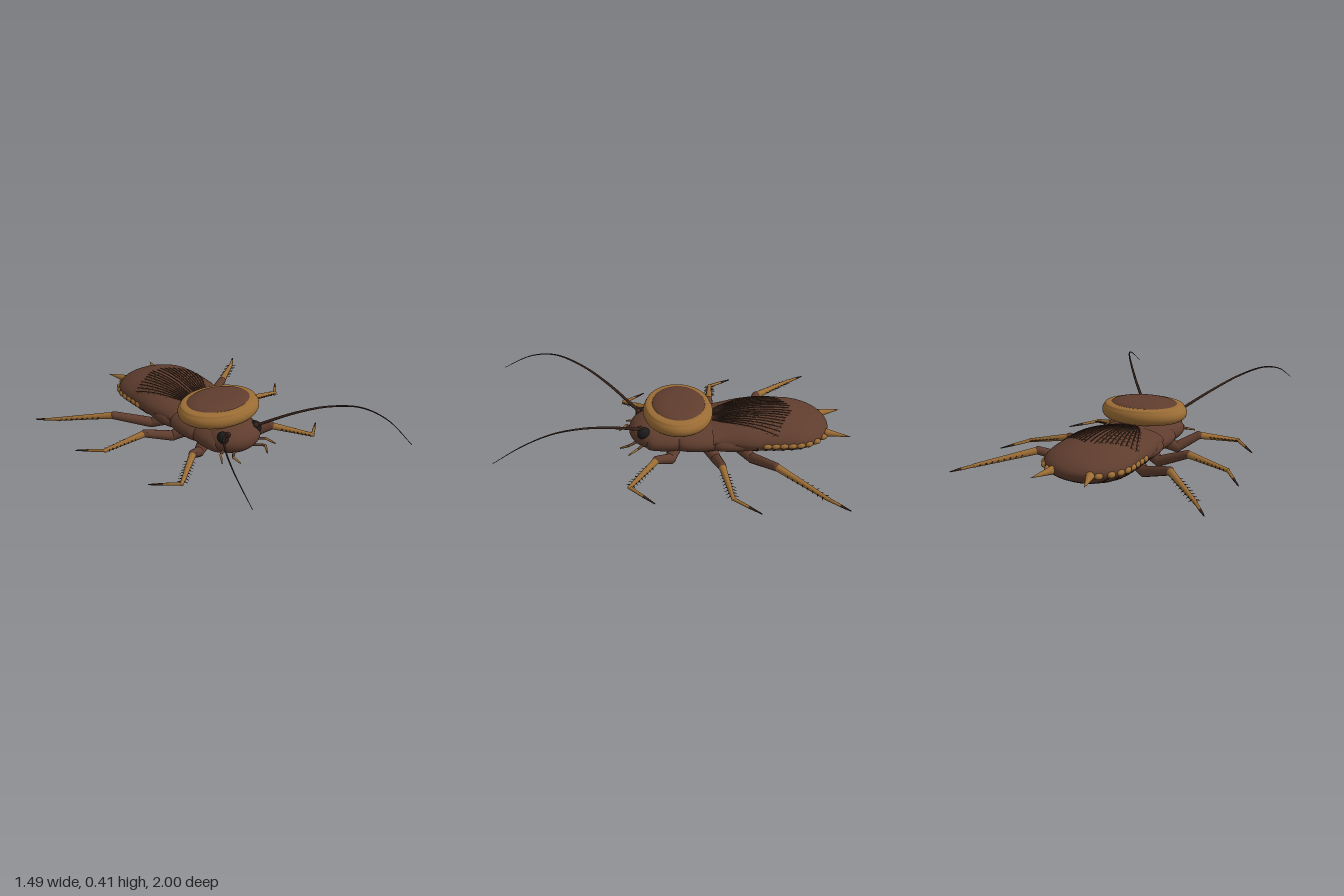
import * as THREE from 'three';

const mat = (name, color, side = THREE.FrontSide) => {
  const m = new THREE.MeshStandardMaterial({ color, side });
  m.name = name;
  return m;
};
const brown = mat('chestnut shell', 0x5f3d2e, THREE.DoubleSide);
const tan = mat('amber', 0x9c6d35);
const dark = mat('dark brown', 0x38241b);
const black = mat('eye black', 0x1c1a1a);
const V = (x, y, z) => new THREE.Vector3(x, y, z);

function add(parent, name, geo, material, pos, scale) {
  const m = new THREE.Mesh(geo, material);
  m.name = name;
  if (pos) m.position.set(...pos);
  if (scale) m.scale.set(...scale);
  parent.add(m);
  return m;
}

// Tapered rod from a to b
function limb(parent, name, a, b, r1, r2, material, sides = 12) {
  const d = b.clone().sub(a);
  const m = add(parent, name, new THREE.CylinderGeometry(r2, r1, d.length(), sides), material);
  m.position.copy(a).addScaledVector(d, 0.5);
  m.quaternion.setFromUnitVectors(V(0, 1, 0), d.normalize());
  return m;
}

const ball = (parent, name, p, r, material) =>
  add(parent, name, new THREE.SphereGeometry(r, 14, 10), material, [p.x, p.y, p.z]);

// Tube along points that thins from r1 to r2
function taperTube(points, r1, r2, segs = 24, sides = 6) {
  const curve = new THREE.CatmullRomCurve3(points);
  const geo = new THREE.TubeGeometry(curve, segs, r1, sides);
  const p = geo.attributes.position, v = V(0, 0, 0);
  for (let i = 0; i < p.count; i++) {
    const t = Math.floor(i / (sides + 1)) / segs;
    const c = curve.getPointAt(t);
    v.fromBufferAttribute(p, i).sub(c).multiplyScalar(1 + (r2 / r1 - 1) * t).add(c);
    p.setXYZ(i, v.x, v.y, v.z);
  }
  return geo;
}

// Abdomen cross-section at t (0 front, 1 tail)
const Z0 = -0.2, LEN = 0.69;
function section(t) {
  const end = (s) => Math.sqrt(Math.max(0, 1 - Math.max(0, (t - s) / (1 - s)) ** 2));
  return {
    z: Z0 - LEN * t,
    w: (0.21 + 0.04 * THREE.MathUtils.smoothstep(t, 0, 0.35)) * end(0.65),
    mid: 0.15 - 0.02 * t,
    up: t < 0.45 ? 0.06 + 0.05 * Math.sin(t / 0.9 * Math.PI) : 0.11 * end(0.45),
    down: 0.1 * end(0.55),
  };
}
function hullPoint(t, a, lift = 0) {
  const s = section(t), h = Math.sin(a);
  return V(Math.cos(a) * (s.w + lift), s.mid + h * ((h > 0 ? s.up : s.down) + lift), s.z);
}
function wingPoint(x, z, lift) {
  const t = (Z0 - z) / LEN, s = section(t);
  return hullPoint(t, Math.acos(THREE.MathUtils.clamp(x / s.w, -1, 1)), lift);
}
function hull(a0, a1) {
  const rows = 40, cols = 32, pos = [], idx = [];
  for (let i = 0; i <= rows; i++) for (let j = 0; j <= cols; j++) {
    const p = hullPoint(Math.sin(i / rows * Math.PI / 2), a0 + (a1 - a0) * j / cols);
    pos.push(p.x, p.y, p.z);
    if (i < rows && j < cols) {
      const a = i * (cols + 1) + j, b = a + cols + 1;
      idx.push(a, a + 1, b, a + 1, b + 1, b);
    }
  }
  const g = new THREE.BufferGeometry();
  g.setAttribute('position', new THREE.Float32BufferAttribute(pos, 3));
  g.setIndex(idx);
  g.computeVertexNormals();
  return g;
}

const lathe = (pts) => new THREE.LatheGeometry(
  new THREE.SplineCurve(pts.map(([x, y]) => new THREE.Vector2(x, y))).getPoints(40), 56);

// Hip, thigh, spiny shin and foot
function leg(parent, name, hip, joint, knee, ankle, toe) {
  const g = new THREE.Group();
  g.name = name;
  limb(g, 'hip', hip, joint, 0.045, 0.03, brown);
  ball(g, 'hipJoint', joint, 0.031, brown);
  limb(g, 'thigh', joint, knee, 0.031, 0.024, brown);
  ball(g, 'knee', knee, 0.024, brown);
  limb(g, 'shin', knee, ankle, 0.021, 0.011, tan);
  ball(g, 'ankle', ankle, 0.012, tan);
  const dir = ankle.clone().sub(knee).normalize();
  const side = V(0, 1, 0).cross(dir).normalize();
  for (let i = 0; i < 8; i++) for (const s of [-1, 1]) {
    const a = knee.clone().lerp(ankle, 0.25 + i * 0.095).addScaledVector(side, s * 0.01);
    const b = a.clone().addScaledVector(side, s * 0.024).addScaledVector(dir, 0.012);
    limb(g, 'spine', a, b, 0.0035, 0.0005, dark, 5);
  }
  const mid = ankle.clone().lerp(toe, 0.55);
  limb(g, 'foot', ankle, mid, 0.01, 0.008, tan, 8);
  limb(g, 'toe', mid, toe, 0.008, 0.003, dark, 8);
  parent.add(g);
}

export function createModel() {
  const root = new THREE.Group();
  root.name = 'cockroach';

  // Wing covers and belly
  add(root, 'wingCovers', hull(0, Math.PI), brown);
  add(root, 'belly', hull(Math.PI, Math.PI * 2), brown);

  // Thorax segments
  const seg = lathe([[0.001, -1], [0.55, -0.98], [0.9, -0.8], [1, -0.3], [1, 0.3], [0.9, 0.8], [0.55, 0.98], [0.001, 1]]);
  seg.rotateX(Math.PI / 2);
  [[0.05, 0.19, 0.085, 0.14], [-0.13, 0.215, 0.085, 0.15], [-0.33, 0.235, 0.08, 0.15]].forEach(([z, w, h, l]) =>
    add(root, 'thoraxSegment', seg, brown, [0, 0.125, z], [w, h, l]));

  // Shield behind the head
  const rim = lathe([[0.001, 0.205], [0.75, 0.206], [0.94, 0.22], [1, 0.25], [0.95, 0.282], [0.8, 0.3], [0.001, 0.302]]);
  add(root, 'shieldRim', rim, tan, [0, 0, -0.015], [0.253, 1, 0.2]);
  const cap = lathe([[1, 0.28], [1, 0.295], [0.85, 0.311], [0.5, 0.323], [0.001, 0.326]]);
  add(root, 'shieldCap', cap, brown, [0, 0, -0.018], [0.202, 1, 0.156]);

  // Head
  add(root, 'head', new THREE.SphereGeometry(1, 40, 28), brown, [0, 0.137, 0.13], [0.165, 0.09, 0.138]);

  // Central seam of the wings
  const seamPts = [];
  for (let i = 0; i <= 8; i++) seamPts.push(wingPoint(0, -0.21 - i * 0.056, 0.001));
  add(root, 'wingSeam', taperTube(seamPts, 0.005, 0.003), dark);

  // Belly bands
  for (let k = 0; k < 8; k++) {
    const t = 0.36 + k * 0.073;
    [[0, 0.004, dark], [0.012, 0.002, tan]].forEach(([dt, r, m]) => {
      const pts = [];
      for (let j = 0; j <= 12; j++) pts.push(hullPoint(t + dt, Math.PI * (1.04 + 0.92 * j / 12), 0));
      add(root, 'bellyBand', taperTube(pts, r, r), m);
    });
  }

  for (const s of [-1, 1]) {
    const half = new THREE.Group();
    half.name = s > 0 ? 'leftSide' : 'rightSide';
    root.add(half);
    const P = (x, y, z) => V(s * x, y, z);

    // Eyes and antennae
    add(half, 'eye', new THREE.SphereGeometry(1, 20, 14), black, [s * 0.115, 0.172, 0.185], [0.031, 0.038, 0.04]);
    ball(half, 'antennaBase', P(0.1, 0.2, 0.21), 0.016, dark);
    add(half, 'antenna', taperTube([P(0.1, 0.195, 0.205), P(0.25, 0.305, 0.38), P(0.36, 0.373, 0.53),
      P(0.455, 0.403, 0.69), P(0.51, 0.372, 0.84), P(0.535, 0.288, 1)], 0.0095, 0.0015, 48), dark);

    // Mouth feelers
    limb(half, 'feeler', P(0.06, 0.09, 0.22), P(0.115, 0.095, 0.28), 0.009, 0.007, brown, 8);
    limb(half, 'feelerTip', P(0.115, 0.095, 0.28), P(0.095, 0.07, 0.325), 0.008, 0.004, tan, 8);
    limb(half, 'feeler', P(0.1, 0.1, 0.18), P(0.16, 0.1, 0.225), 0.01, 0.007, brown, 8);
    limb(half, 'feelerTip', P(0.16, 0.1, 0.225), P(0.19, 0.08, 0.28), 0.008, 0.004, tan, 8);

    // Legs
    leg(half, 'frontLeg', P(0.09, 0.09, 0.0), P(0.18, 0.04, 0.04), P(0.28, 0.1, 0.125), P(0.465, 0.05, 0.285), P(0.6, 0.03, 0.155));
    leg(half, 'middleLeg', P(0.09, 0.08, -0.17), P(0.19, 0.032, -0.22), P(0.37, 0.1, -0.232), P(0.62, 0.055, -0.265), P(0.735, 0.03, -0.405));
    leg(half, 'hindLeg', P(0.09, 0.08, -0.34), P(0.2, 0.035, -0.425), P(0.4, 0.1, -0.53), P(0.655, 0.048, -0.775), P(0.745, 0.03, -0.88));

    // Amber lobes along the abdomen edge
    for (let i = 0; i < 8; i++) {
      const t = 0.44 + i * 0.069;
      const p = hullPoint(t, 0);
      add(half, 'edgeLobe', new THREE.SphereGeometry(1, 14, 10), tan, [s * (p.x - 0.008), p.y - 0.005, p.z], [0.02, 0.018, 0.028]);
    }

    // Tail spikes
    limb(half, 'tailSpike', P(0.11, 0.13, -0.86), P(0.155, 0.122, -0.998), 0.024, 0.001, tan);

    // Wing veins with short cross veins
    for (let i = 0; i < 9; i++) {
      const xEnd = 0.03 + i * 0.024, zEnd = -0.67 + i * 0.013;
      const at = (u) => wingPoint(s * THREE.MathUtils.lerp(0.012 + i * 0.005, xEnd, u ** 0.8),
        THREE.MathUtils.lerp(-0.21, zEnd, u), 0.001);
      const pts = [];
      for (let j = 0; j <= 8; j++) pts.push(at(j / 8));
      add(half, 'wingVein', taperTube(pts, 0.0038, 0.0025), dark);
      for (let j = 0; j < 6; j++) {
        const a = at(0.38 + j * 0.11 + (i % 2) * 0.03);
        const b = wingPoint(a.x + s * 0.013, a.z, 0.001);
        limb(half, 'crossVein', a, b, 0.0018, 0.0018, tan, 5);
      }
    }
  }
  return root;
}
